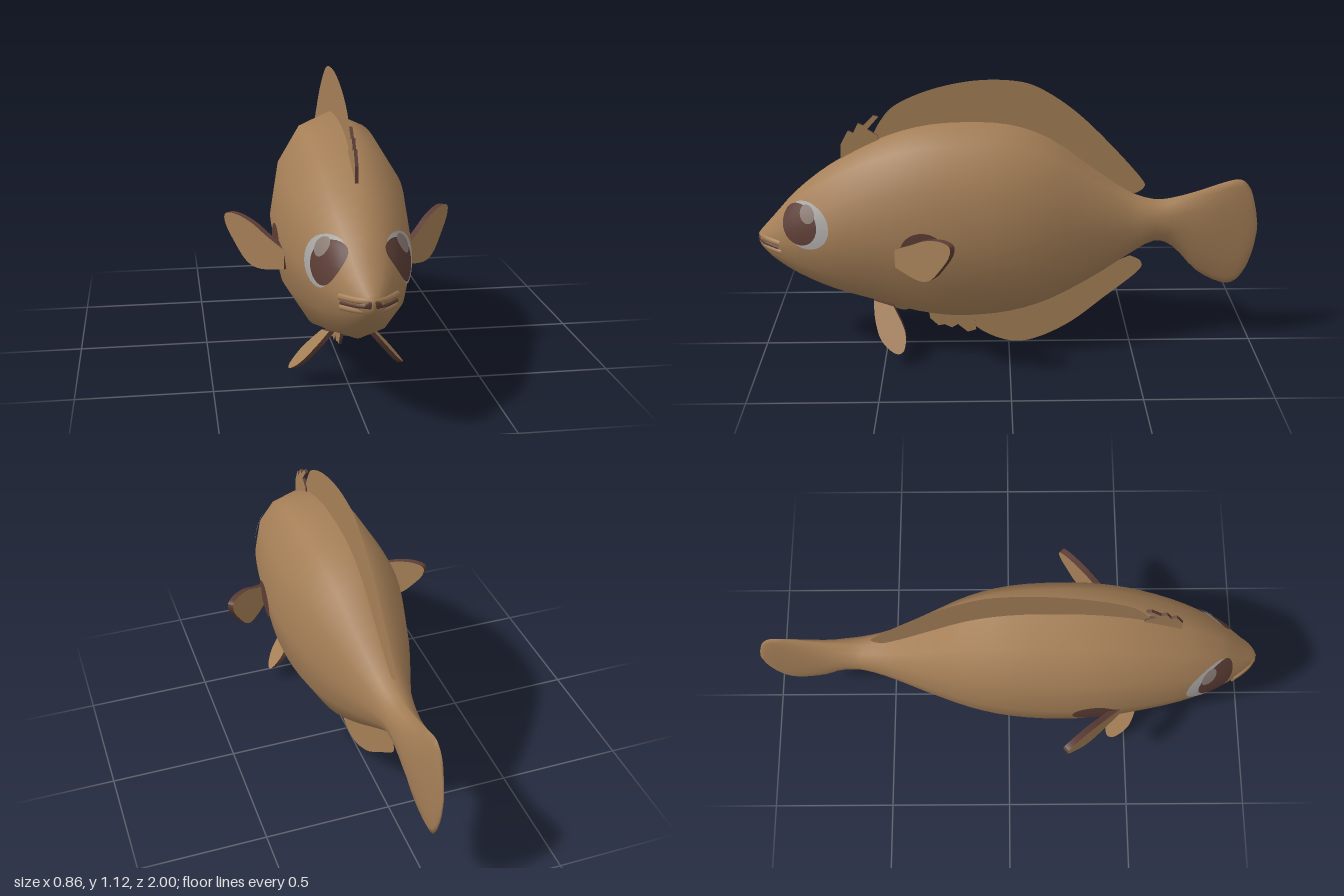
import * as THREE from 'three';

const mat = (name, color, side = THREE.FrontSide) => {
  const m = new THREE.MeshStandardMaterial({ color, side });
  m.name = name;
  return m;
};

// Body stations: z, bottom, top, half width
const STATIONS = [
  [1.0, 0.465, 0.495, 0.006], [0.985, 0.44, 0.515, 0.035], [0.935, 0.39, 0.57, 0.078],
  [0.84, 0.325, 0.674, 0.132], [0.7, 0.258, 0.783, 0.186], [0.52, 0.2, 0.88, 0.226],
  [0.36, 0.15, 0.932, 0.246], [0.2, 0.128, 0.95, 0.25], [0, 0.144, 0.94, 0.236],
  [-0.16, 0.195, 0.883, 0.202], [-0.33, 0.29, 0.762, 0.143], [-0.47, 0.385, 0.665, 0.092],
  [-0.58, 0.45, 0.627, 0.066], [-0.66, 0.425, 0.635, 0.055], [-0.76, 0.32, 0.663, 0.042],
  [-0.87, 0.262, 0.7, 0.026], [-0.925, 0.272, 0.706, 0.018], [-0.965, 0.33, 0.665, 0.012],
  [-0.99, 0.41, 0.58, 0.006], [-1.0, 0.48, 0.52, 0.002],
];

// Smooth body section at a given z
function section(z) {
  const S = STATIONS;
  let i = 0;
  while (i < S.length - 2 && z < S[i + 1][0]) i++;
  const t = (z - S[i][0]) / (S[i + 1][0] - S[i][0]);
  const slope = (k, c) => {
    const a = S[Math.max(k - 1, 0)], b = S[Math.min(k + 1, S.length - 1)];
    return (b[c] - a[c]) / (b[0] - a[0]);
  };
  const dz = S[i + 1][0] - S[i][0];
  const value = (c) =>
    (1 + 2 * t) * (1 - t) ** 2 * S[i][c] + t * (1 - t) ** 2 * dz * slope(i, c) +
    t * t * (3 - 2 * t) * S[i + 1][c] + t * t * (t - 1) * dz * slope(i + 1, c);
  const lo = value(1), hi = value(2);
  return { mid: (lo + hi) / 2, h: (hi - lo) / 2, w: Math.max(value(3), 0.002) };
}

const surfaceX = (z, y) => {
  const s = section(z);
  return s.w * Math.sqrt(Math.max(0, 1 - ((y - s.mid) / s.h) ** 2));
};

// Twelve-sided loft with a tapering tail
function bodyGeometry() {
  const sides = 12, steps = 3, pos = [], index = [];
  const zs = [];
  STATIONS.forEach(([z], i) => {
    if (i === STATIONS.length - 1) return zs.push(z);
    for (let k = 0; k < steps; k++) zs.push(z + (STATIONS[i + 1][0] - z) * k / steps);
  });
  zs.forEach((z) => {
    const s = section(z);
    for (let j = 0; j < sides; j++) {
      const a = j / sides * Math.PI * 2;
      pos.push(s.w * Math.sin(a), s.mid + s.h * Math.cos(a), z);
    }
  });
  for (let i = 0; i < zs.length - 1; i++) {
    for (let j = 0; j < sides; j++) {
      const k = (j + 1) % sides, a = i * sides, b = a + sides;
      index.push(a + j, a + k, b + j, a + k, b + k, b + j);
    }
  }
  for (let j = 1; j < sides - 1; j++) {
    const e = (zs.length - 1) * sides;
    index.push(0, j + 1, j, e, e + j, e + j + 1);
  }
  const g = new THREE.BufferGeometry();
  g.setAttribute('position', new THREE.Float32BufferAttribute(pos, 3));
  g.setIndex(index);
  g.computeVertexNormals();
  return g;
}

// Painted oval that follows the flank
function patchGeometry(side, z, y, rz, ry, lift) {
  const g = new THREE.RingGeometry(0.001, 1, 28, 6);
  const p = g.attributes.position;
  for (let i = 0; i < p.count; i++) {
    const pz = z - side * rz * p.getX(i), py = y + ry * p.getY(i);
    p.setXYZ(i, side * (surfaceX(pz, py) + lift), py, pz);
  }
  g.computeVertexNormals();
  return g;
}

const vecs = (pts) => pts.map(([a, b]) => new THREE.Vector2(a, b));

// Outline with a smooth edge first, then straight corners
function finShape(curve, corners = []) {
  const s = new THREE.Shape();
  s.moveTo(...curve[0]);
  s.splineThru(vecs(curve.slice(1)));
  corners.forEach((c) => s.lineTo(...c));
  s.closePath();
  return s;
}

function plate(shape, depth) {
  const g = new THREE.ExtrudeGeometry(shape, { depth, bevelEnabled: false, curveSegments: 5 });
  return g.translate(0, 0, -depth / 2);
}

export function createModel() {
  const root = new THREE.Group();
  root.name = 'fish';
  const skin = mat('brown skin', 0xa57f57);
  const fin = mat('brown fin', 0xa57f57, THREE.DoubleSide);
  const dark = mat('dark brown', 0x5c3d35);
  const eyeGrey = mat('eye grey', 0xaaa8a5);
  const glint = mat('eye glint', 0x8c7c74);
  const add = (name, geometry, material) => {
    const m = new THREE.Mesh(geometry, material);
    m.name = name;
    root.add(m);
    return m;
  };

  add('body', bodyGeometry(), skin);

  // Large flat fins on the midline, outlined in (z, y)
  const dorsal = finShape([[0.54, 0.88], [0.5, 0.955], [0.44, 1.02], [0.305, 1.08], [0.14, 1.115], [-0.015, 1.115],
    [-0.12, 1.085], [-0.255, 0.995], [-0.39, 0.866], [-0.525, 0.715], [-0.535, 0.675], [-0.5, 0.652]],
  [[-0.42, 0.68], [-0.3, 0.75], [0, 0.88], [0.3, 0.88]]);
  const anal = finShape([[0.22, 0.14], [0.17, 0.1], [0.09, 0.04], [-0.015, 0.004], [-0.12, 0.02], [-0.255, 0.09],
    [-0.39, 0.2], [-0.525, 0.315], [-0.535, 0.36], [-0.49, 0.385]], [[-0.3, 0.3], [0, 0.2]]);
  add('dorsalFin', new THREE.ShapeGeometry(dorsal, 5).rotateY(-Math.PI / 2), fin);
  add('analFin', new THREE.ShapeGeometry(anal, 5).rotateY(-Math.PI / 2), fin);

  // Small spiny fins
  const spines = new THREE.Shape(vecs([[0.66, 0.79], [0.655, 0.865], [0.625, 0.92], [0.605, 0.91],
    [0.585, 0.95], [0.565, 0.94], [0.525, 0.98], [0.505, 0.975], [0.55, 0.925], [0.51, 0.9], [0.5, 0.84]]));
  const lowerSpines = new THREE.Shape(vecs([[0.33, 0.18], [0.325, 0.115], [0.29, 0.08], [0.265, 0.085],
    [0.235, 0.07], [0.21, 0.085], [0.17, 0.05], [0.135, 0.06], [0.14, 0.11], [0.12, 0.16]]));
  add('frontDorsalSpines', plate(spines, 0.012).rotateY(-Math.PI / 2), [skin, dark]);
  add('frontAnalSpines', plate(lowerSpines, 0.012).rotateY(-Math.PI / 2), [skin, dark]);

  const pectoral = finShape([[-0.02, 0.515], [0.06, 0.55], [0.14, 0.59], [0.22, 0.61], [0.272, 0.603],
    [0.272, 0.565], [0.235, 0.51], [0.17, 0.44], [0.1, 0.42], [-0.02, 0.44]]);
  const pelvic = finShape([[0.545, 0.23], [0.537, 0.165], [0.51, 0.1], [0.455, 0.06], [0.42, 0.07],
    [0.418, 0.13], [0.465, 0.21]]);

  for (const side of [1, -1]) {
    const label = side > 0 ? 'left' : 'right';

    // Side fin swept outward and back, with a dark spot behind its root
    const pec = add(label + 'PectoralFin', plate(pectoral, 0.024), [skin, dark]);
    pec.position.set(side * 0.235, 0, 0.42);
    pec.rotation.y = side > 0 ? 0.83 : Math.PI - 0.83;
    add(label + 'FinSpot', patchGeometry(side, 0.335, 0.51, 0.085, 0.075, 0.004), dark);

    // Belly fin splayed outward by a shear
    const g = plate(pelvic, 0.022).rotateY(-Math.PI / 2);
    const p = g.attributes.position;
    for (let i = 0; i < p.count; i++) p.setX(i, p.getX(i) + side * (0.085 + (0.21 - p.getY(i)) * 0.8));
    g.computeVertexNormals();
    add(label + 'PelvicFin', g, [skin, dark]);

    // Eye
    add(label + 'EyeWhite', patchGeometry(side, 0.787, 0.577, 0.09, 0.09, 0.004), eyeGrey);
    add(label + 'Pupil', patchGeometry(side, 0.815, 0.578, 0.07, 0.077, 0.007), dark);
    add(label + 'EyeGlint', patchGeometry(side, 0.782, 0.625, 0.03, 0.034, 0.0095), glint);
  }

  // Mouth line between two lips, wrapped round the snout
  const mouthTube = (y, droop, radius, back) => {
    const pts = [-0.91, -0.945, -0.98, 0.997, 0.98, 0.945, 0.91].map((s) => {
      const z = Math.abs(s), py = y - droop * (1 - z);
      return new THREE.Vector3(s > 0.99 ? 0 : Math.sign(s) * surfaceX(z, py), py, z - back);
    });
    return new THREE.TubeGeometry(new THREE.CatmullRomCurve3(pts), 28, radius, 8);
  };
  add('mouthLine', mouthTube(0.478, 0.12, 0.007, 0.004), dark);
  add('upperLip', mouthTube(0.494, 0.08, 0.013, 0.012), skin);
  add('lowerLip', mouthTube(0.46, 0.12, 0.012, 0.014), skin);
  const opening = add('mouthOpening', new THREE.SphereGeometry(1, 16, 10), dark);
  opening.scale.set(0.028, 0.015, 0.006);
  opening.position.set(0, 0.483, 0.994);

  return root;
}
